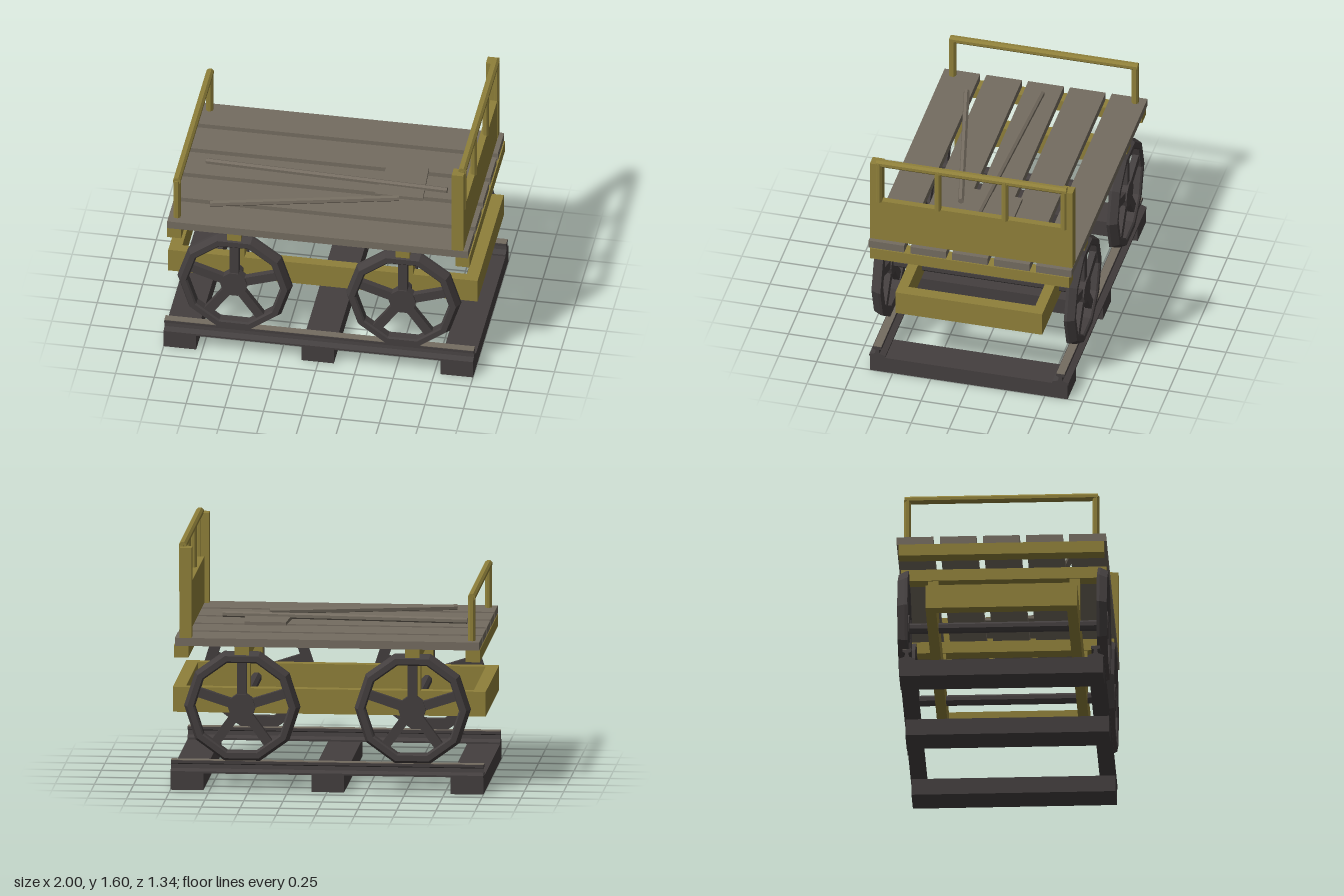
import * as THREE from 'three';

const paint = new THREE.MeshStandardMaterial({ color: 0x8f803a });
paint.name = 'ochre paint';
const plankWood = new THREE.MeshStandardMaterial({ color: 0x746c60 });
plankWood.name = 'grey weathered wood';
const iron = new THREE.MeshStandardMaterial({ color: 0x443f3f });
iron.name = 'dark iron';

// Adds a faceted mesh to a parent
function add(parent, name, geometry, material) {
  const flat = geometry.index ? geometry.toNonIndexed() : geometry;
  flat.computeVertexNormals();
  const mesh = new THREE.Mesh(flat, material);
  mesh.name = name;
  parent.add(mesh);
  return mesh;
}

// Box given by its minimum and maximum on each axis
function box(parent, name, material, x0, x1, y0, y1, z0, z1) {
  const g = new THREE.BoxGeometry(x1 - x0, y1 - y0, z1 - z0);
  g.translate((x0 + x1) / 2, (y0 + y1) / 2, (z0 + z1) / 2);
  return add(parent, name, g, material);
}

// Straight bar between two points
function bar(parent, name, material, from, to, radius, sides = 8) {
  const a = new THREE.Vector3(...from), b = new THREE.Vector3(...to);
  const dir = b.clone().sub(a);
  const g = new THREE.CylinderGeometry(radius, radius, dir.length(), sides);
  g.rotateY(Math.PI / sides);
  const mesh = add(parent, name, g, material);
  mesh.position.copy(a).add(b).multiplyScalar(0.5);
  mesh.quaternion.setFromUnitVectors(new THREE.Vector3(0, 1, 0), dir.normalize());
  return mesh;
}

// Prism from an outline in x and y, extruded along z
function prism(points, depth) {
  const shape = new THREE.Shape(points.map(([x, y]) => new THREE.Vector2(x, y)));
  return new THREE.ExtrudeGeometry(shape, { depth, bevelEnabled: false });
}

// Ten-sided spoked wheel, outer face towards +z
function makeWheel() {
  const wheel = new THREE.Group();
  wheel.name = 'wheel';
  const profile = [[0.3, 0], [0.372, 0], [0.37, 0.018], [0.347, 0.065], [0.31, 0.065], [0.3, 0.055], [0.3, 0]]
    .map(([r, y]) => new THREE.Vector2(r, y));
  const rim = new THREE.LatheGeometry(profile, 10, Math.PI / 2);
  rim.rotateX(Math.PI / 2);
  add(wheel, 'wheelRim', rim, iron);
  const hub = new THREE.CylinderGeometry(0.088, 0.088, 0.06, 10);
  hub.rotateY(Math.PI / 2).rotateX(Math.PI / 2).translate(0, 0, 0.03);
  add(wheel, 'wheelHub', hub, iron);
  for (let i = 0; i < 5; i++) {
    const spoke = box(wheel, 'wheelSpoke', iron, -0.03, 0.03, 0.05, 0.295, 0.008, 0.05);
    spoke.rotation.z = (i * Math.PI * 2) / 5;
  }
  return wheel;
}

function makeTrack() {
  const track = new THREE.Group();
  track.name = 'track';
  for (const x of [-0.895, -0.005, 0.895]) {
    box(track, 'sleeper', iron, x - 0.105, x + 0.105, 0, 0.11, -0.65, 0.65);
  }
  // Rail section: foot, web and head
  const half = [[0.053, 0.11], [0.053, 0.122], [0.015, 0.136], [0.01, 0.162], [0.028, 0.17], [0.028, 0.188]];
  const section = [...half, ...half.map(([x, y]) => [-x, y]).reverse()];
  for (const s of [-1, 1]) {
    const rail = prism(section, 2);
    rail.translate(0, 0, -1).rotateY(Math.PI / 2).translate(0, 0, s * 0.602);
    add(track, 'rail', rail, iron);
    box(track, 'railTop', plankWood, -1, 1, 0.188, 0.191, s * 0.602 - 0.026, s * 0.602 + 0.026);
  }
  return track;
}

function makeChassis() {
  const chassis = new THREE.Group();
  chassis.name = 'chassis';
  for (const s of [-1, 1]) {
    box(chassis, 'sideBeam', paint, -1, 1, 0.475, 0.635, s * 0.45 - 0.033, s * 0.45 + 0.033);
    box(chassis, 'endBeam', paint, s * 0.96 - 0.04, s * 0.96 + 0.04, 0.475, 0.635, -0.417, 0.417);
    box(chassis, 'endCrossbeam', paint, s * 0.932 - 0.046, s * 0.932 + 0.046, 0.857, 0.935, -0.655, 0.655);
    box(chassis, 'bolster', paint, s * 0.545 - 0.046, s * 0.545 + 0.046, 0.857, 0.935, -0.655, 0.655);
    bar(chassis, 'axle', iron, [s * 0.545, 0.543, -0.64], [s * 0.545, 0.543, 0.64], 0.034);
    for (const t of [-1, 1]) {
      box(chassis, 'framePost', paint, s * 0.545 - 0.038, s * 0.545 + 0.038, 0.635, 0.857, t * 0.45 - 0.033, t * 0.45 + 0.033);
      const wheel = makeWheel();
      wheel.position.set(s * 0.545, 0.543, t * 0.603);
      if (t < 0) wheel.rotation.y = Math.PI;
      chassis.add(wheel);
    }
  }
  return chassis;
}

function makeDeck() {
  const deck = new THREE.Group();
  deck.name = 'deck';
  for (let i = -2; i <= 2; i++) {
    const z = i * 0.275;
    box(deck, 'plank', plankWood, -0.975, 0.97, 0.935, 0.987, z - 0.117, z + 0.117);
  }
  // Low handrail
  for (const z of [-0.6, 0.6]) {
    bar(deck, 'lowRailPost', paint, [-0.922, 0.987, z], [-0.922, 1.27, z], 0.024);
  }
  bar(deck, 'lowRailBar', paint, [-0.922, 1.268, -0.62], [-0.922, 1.268, 0.615], 0.025);
  // Tall end board with railing
  for (const s of [-1, 1]) {
    box(deck, 'boardPost', paint, 0.865, 0.94, 0.987, 1.57, s * 0.628 - 0.038, s * 0.628 + 0.038);
  }
  box(deck, 'endBoard', paint, 0.895, 0.939, 0.987, 1.287, -0.59, 0.59);
  for (const z of [-0.608, -0.221, 0.221, 0.608]) {
    bar(deck, 'railingPost', paint, [0.93, 1.28, z], [0.93, 1.58, z], 0.022);
  }
  bar(deck, 'railingBar', paint, [0.925, 1.575, -0.625], [0.925, 1.575, 0.625], 0.026);
  return deck;
}

function makeCargo() {
  const cargo = new THREE.Group();
  cargo.name = 'loosePieces';
  const plate = prism([[0.28, -0.165], [0.59, -0.165], [0.57, 0.175], [0.305, 0.175]], 0.022);
  plate.rotateX(-Math.PI / 2).translate(0, 0.987, 0);
  add(cargo, 'loosePlate', plate, plankWood);
  bar(cargo, 'looseBar', plankWood, [-0.84, 1.007, -0.008], [0.73, 1.015, 0.06], 0.019, 6);
  bar(cargo, 'looseBar', plankWood, [-0.735, 1.01, 0.46], [0.44, 1.013, 0.195], 0.02, 6);
  return cargo;
}

export function createModel() {
  const cart = new THREE.Group();
  cart.name = 'railCart';
  cart.add(makeTrack(), makeChassis(), makeDeck(), makeCargo());
  return cart;
}
